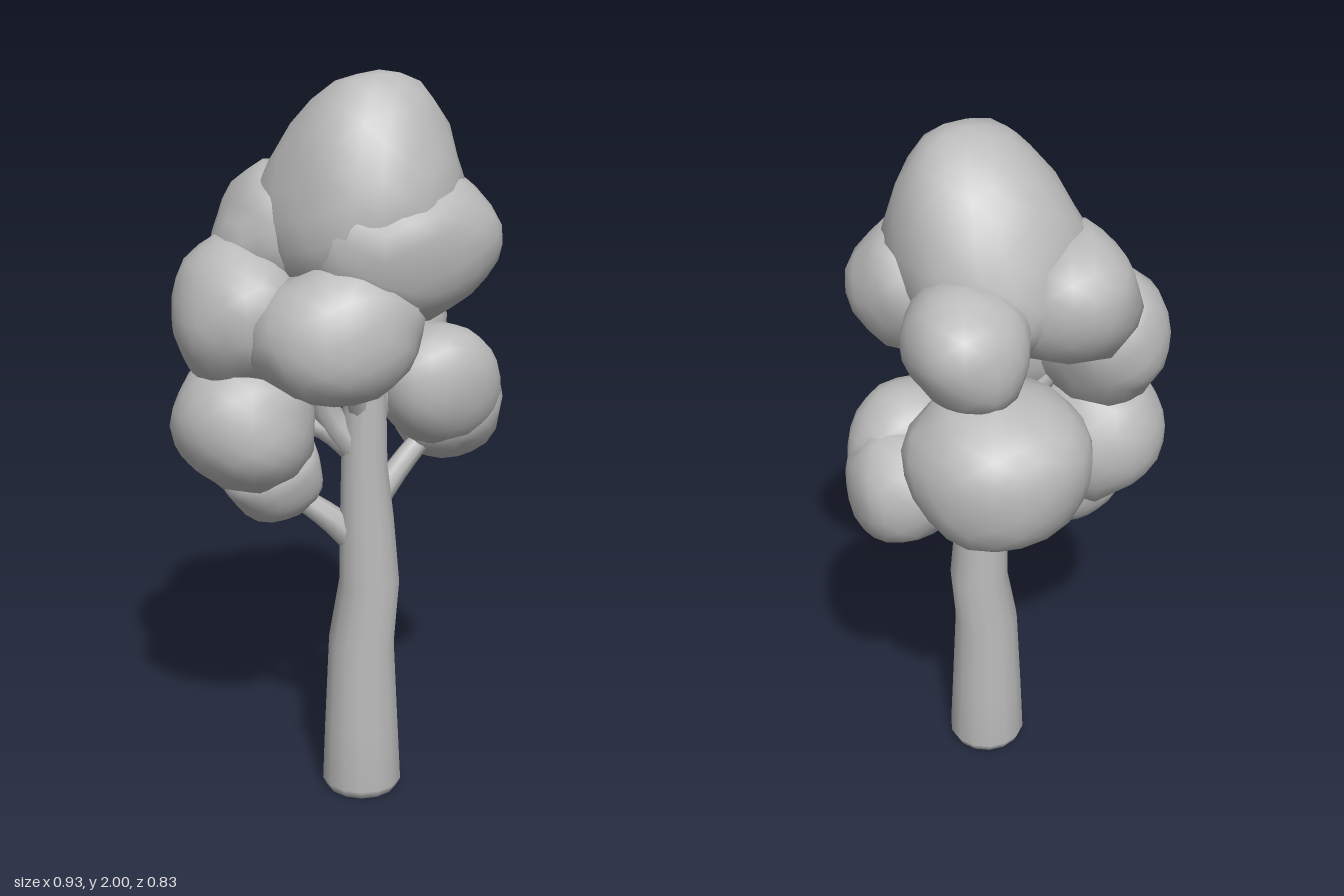
import * as THREE from 'three';
import { mergeVertices } from 'three/addons/utils/BufferGeometryUtils.js';

const grey = new THREE.MeshStandardMaterial({ color: 0xbababa });
grey.name = 'clay grey';

// Foliage: name, then the x, y and z ranges, taper and lean towards the top
const clumps = [
  ['crownClump', [-0.22, 0.28], [1.43, 2.0], [-0.17, 0.36], 0.2, 0.12],
  ['upperFrontClump', [-0.14, 0.36], [1.375, 1.75], [0.02, 0.39]],
  ['lowerFrontClump', [-0.31, 0.125], [1.18, 1.53], [0.06, 0.415]],
  ['upperRightClump', [-0.45, -0.12], [1.2, 1.57], [-0.19, 0.21]],
  ['lowerRightClump', [-0.467, -0.075], [0.91, 1.25], [-0.17, 0.22]],
  ['smallRightClump', [-0.32, -0.06], [0.8, 1.03], [-0.075, 0.15]],
  ['lowerLeftFrontClump', [0.08, 0.42], [1.01, 1.32], [0.01, 0.26]],
  ['lowerLeftBackClump', [0.17, 0.465], [0.915, 1.24], [-0.1, 0.2]],
  ['backClump', [-0.07, 0.415], [1.03, 1.43], [-0.42, 0.03]],
  ['upperBackLeftClump', [0.07, 0.37], [1.39, 1.69], [-0.275, 0.06]],
  ['upperBackRightClump', [-0.305, 0.07], [1.41, 1.745], [-0.26, 0.16]],
].map(([name, x, y, z, taper = 0, lean = 0]) => ({
  name, taper, lean, ranges: [x, y, z],
  centre: new THREE.Vector3(x[0] + x[1], y[0] + y[1], z[0] + z[1]).multiplyScalar(0.5),
  radii: new THREE.Vector3(x[1] - x[0], y[1] - y[0], z[1] - z[0]).multiplyScalar(0.5),
}));

// 0 at the clump's centre, 1 on its surface
const depthIn = (clump, v) => v.clone().sub(clump.centre).divide(clump.radii).length();

// Drop faces buried inside a clump
function openInside(g, others) {
  const p = g.attributes.position, index = g.index.array, kept = [];
  const point = i => new THREE.Vector3().fromBufferAttribute(p, i);
  for (let i = 0; i < index.length; i += 3) {
    const face = [index[i], index[i + 1], index[i + 2]];
    if (!others.some(c => face.every(j => depthIn(c, point(j)) < 0.86))) kept.push(...face);
  }
  g.setIndex(kept);
  return g;
}

// Lumpy low-poly ball filling its ranges and swelling where it meets a neighbour
function leafClump(clump, seed) {
  const { ranges, centre, taper, lean } = clump;
  const others = clumps.filter(c => c !== clump);
  let g = new THREE.IcosahedronGeometry(1, 3);
  g.deleteAttribute('normal');
  g.deleteAttribute('uv');
  g = mergeVertices(g, 1e-3);
  const p = g.attributes.position, v = new THREE.Vector3(), e = 2.15;
  for (let i = 0; i < p.count; i++) {
    v.fromBufferAttribute(p, i);
    const full = (Math.abs(v.x) ** e + Math.abs(v.y) ** e + Math.abs(v.z) ** e) ** (-1 / e);
    const lump = 1 + 0.025 * Math.sin(3.1 * v.x + 2.3 * v.y + seed * 1.7)
      + 0.025 * Math.sin(3.7 * v.z - 2.9 * v.y + seed * 2.9)
      + 0.015 * Math.sin(i * 12.9 + seed * 7.1);
    v.multiplyScalar(full * lump);
    const width = 1 - taper * v.y, shift = lean * v.y;
    p.setXYZ(i, v.x * width + shift, v.y, v.z * width + shift);
  }
  g.computeBoundingBox();
  const { min, max } = g.boundingBox;
  for (let i = 0; i < p.count; i++) {
    ['x', 'y', 'z'].forEach((axis, k) => {
      const t = (p.getComponent(i, k) - min[axis]) / (max[axis] - min[axis]);
      p.setComponent(i, k, THREE.MathUtils.lerp(...ranges[k], t));
    });
    v.fromBufferAttribute(p, i);
    const gap = Math.min(...others.map(c => Math.abs(depthIn(c, v) - 1)));
    const swell = 0.02 * Math.max(0, 1 - gap / 0.3);
    v.addScaledVector(v.clone().sub(centre).normalize(), swell);
    p.setXYZ(i, v.x, v.y, v.z);
  }
  g.computeVertexNormals();
  return openInside(g, others);
}

// Tube that narrows from r0 to r1 along a smooth path
function branch(points, r0, r1) {
  const curve = new THREE.CatmullRomCurve3(points.map(a => new THREE.Vector3(...a)));
  const rings = 8, sides = 8;
  const g = new THREE.TubeGeometry(curve, rings, 1, sides);
  const p = g.attributes.position, v = new THREE.Vector3();
  for (let i = 0; i < p.count; i++) {
    const t = Math.floor(i / (sides + 1)) / rings;
    const c = curve.getPointAt(t);
    v.fromBufferAttribute(p, i).sub(c).multiplyScalar(r0 + (r1 - r0) * t).add(c);
    p.setXYZ(i, v.x, v.y, v.z);
  }
  return openInside(g, clumps);
}

export function createModel() {
  const tree = new THREE.Group();
  tree.name = 'tree';
  const add = (name, geometry) => {
    const mesh = new THREE.Mesh(geometry, grey);
    mesh.name = name;
    tree.add(mesh);
  };

  // Trunk: height, radius, centre x, centre z
  const rings = [
    [0, 0, 0.025, 0.142], [0, 0.1, 0.025, 0.142], [0.025, 0.112, 0.025, 0.142],
    [0.2, 0.104, 0.022, 0.144], [0.45, 0.092, 0.02, 0.145], [0.62, 0.084, 0.046, 0.139],
    [0.8, 0.075, 0.042, 0.13], [0.95, 0.064, 0.034, 0.128], [1.2, 0.058, 0.035, 0.125],
    [1.4, 0.045, 0.045, 0.12], [1.5, 0.035, 0.05, 0.11],
  ];
  const trunk = new THREE.LatheGeometry(rings.map(([y, r]) => new THREE.Vector2(r, y)), 14);
  const p = trunk.attributes.position;
  for (let i = 0; i < p.count; i++) {
    const ring = rings[i % rings.length];
    p.setXYZ(i, p.getX(i) + ring[2], p.getY(i), p.getZ(i) + ring[3]);
  }
  add('trunk', openInside(trunk, clumps));

  // Branches reaching into the clumps
  const branches = [
    ['lowRightBranch', [[0.03, 0.72, 0.13], [-0.06, 0.81, 0.1], [-0.18, 0.9, 0.04]], 0.045, 0.025],
    ['lowLeftBranch', [[0.04, 0.8, 0.12], [0.16, 0.94, 0.11], [0.32, 1.09, 0.1]], 0.038, 0.026],
    ['midRightBranch', [[0.03, 0.98, 0.13], [-0.06, 1.1, 0.1], [-0.1, 1.2, 0.1], [-0.22, 1.34, 0.04]], 0.045, 0.026],
    ['sideBranch', [[0.03, 0.97, 0.12], [-0.07, 1.06, 0.09], [-0.2, 1.1, 0.05]], 0.035, 0.025],
    ['backBranch', [[0.04, 0.95, 0.12], [0.09, 1.08, 0.03], [0.17, 1.2, -0.15]], 0.04, 0.026],
    ['upperLeftBranch', [[0.04, 1.04, 0.12], [0.12, 1.24, 0.13], [0.17, 1.48, 0.18]], 0.04, 0.026],
    ['upperBackBranch', [[0.04, 1.12, 0.12], [0.11, 1.32, 0.04], [0.19, 1.5, -0.08]], 0.035, 0.022],
    ['upperRightBranch', [[0.04, 1.17, 0.12], [-0.02, 1.36, 0.06], [-0.09, 1.52, -0.02]], 0.035, 0.022],
    ['frontBranch', [[0.03, 1.08, 0.13], [-0.03, 1.22, 0.18], [-0.08, 1.34, 0.23]], 0.035, 0.025],
  ];
  for (const [name, path, r0, r1] of branches) add(name, branch(path, r0, r1));

  clumps.forEach((clump, i) => add(clump.name, leafClump(clump, i + 1)));
  return tree;
}
